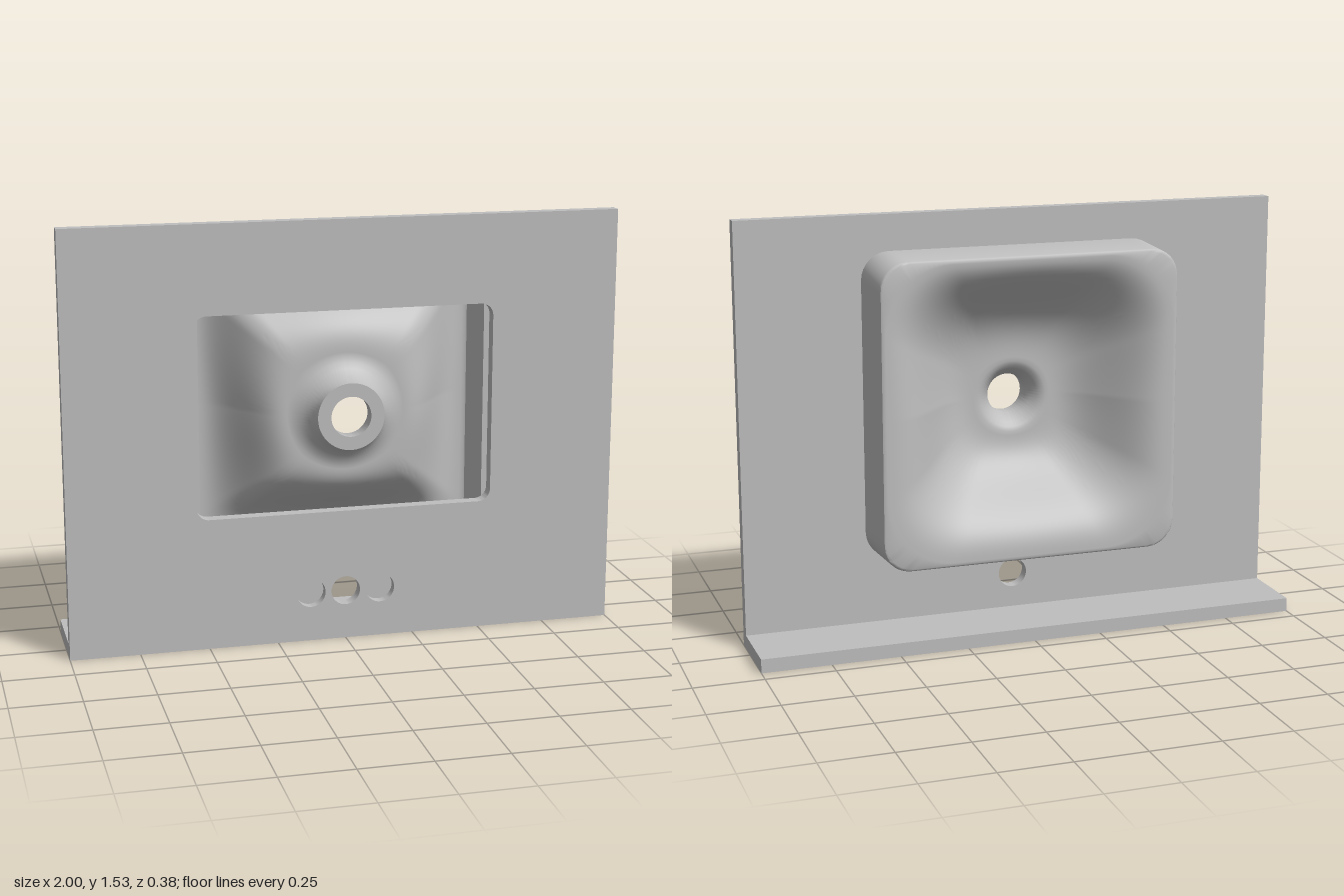
import * as THREE from 'three';
import { toCreasedNormals } from 'three/addons/utils/BufferGeometryUtils.js';

const CY = 0.845; // height of the drain and basin centre

// Distance from the centre to a rounded rectangle's edge along an angle
function rectRadius(angle, a, b, r) {
  const c = Math.abs(Math.cos(angle)), s = Math.abs(Math.sin(angle));
  if (c > 1e-6 && (a * s) / c <= b - r) return a / c;
  if (s > 1e-6 && (b * c) / s <= a - r) return b / s;
  const px = a - r, py = b - r, d = c * px + s * py;
  return d + Math.sqrt(Math.max(0, d * d - (px * px + py * py - r * r)));
}

// Loops of constant rank around the drain axis, joined into a closed skin
function skin(loops, segments) {
  const pos = [], idx = [];
  for (const loop of loops) {
    for (let j = 0; j < segments; j++) {
      const t = (j / segments) * Math.PI * 2;
      const [r, z] = loop(t);
      pos.push(r * Math.cos(t), CY + r * Math.sin(t), z);
    }
  }
  for (let i = 0; i < loops.length; i++) {
    const n = (i + 1) % loops.length;
    for (let j = 0; j < segments; j++) {
      const k = (j + 1) % segments;
      const a = i * segments + j, b = n * segments + j, c = i * segments + k, d = n * segments + k;
      idx.push(a, b, c, b, d, c);
    }
  }
  const g = new THREE.BufferGeometry();
  g.setAttribute('position', new THREE.Float32BufferAttribute(pos, 3));
  g.setIndex(idx);
  return toCreasedNormals(g, 0.6);
}

// Bowl slope: flat at the rim, steep halfway, flat at the drain
function bowlLoop(s, a, b, corner, inner, zRim, zDrain) {
  return (t) => {
    const R = rectRadius(t, a, b, corner);
    const u = Math.pow(s, 1 - 0.3 * Math.max(0, Math.sin(t))); // steeper near the upper wall
    const f = u * u * u * (u * (6 * u - 15) + 10);
    return [R + (inner - R) * s, zRim + (zDrain - zRim) * f];
  };
}

function basinGeometry() {
  const rect = (a, b, r, z) => (t) => [rectRadius(t, a, b, r), z];
  const ring = (r, z) => () => [r, z];
  const loops = [
    // outer wall and rounded rim
    rect(0.52, 0.525, 0.08, 0.065),
    rect(0.555, 0.555, 0.1, 0.065),
    rect(0.547, 0.549, 0.1, -0.146),
    rect(0.544, 0.546, 0.1, -0.152),
    rect(0.538, 0.541, 0.1, -0.155),
  ];
  const N = 26;
  // inside of the bowl
  for (let i = 0; i <= N; i++) loops.push(bowlLoop(i / N, 0.53, 0.533, 0.25, 0.13, -0.155, 0.075));
  // funnel, drain hole, end ring and flared outlet
  const outlet = [
    [0.115, 0.08], [0.1, 0.092], [0.085, 0.112], [0.072, 0.135], [0.072, 0.19],
    [0.12, 0.19], [0.122, 0.175], [0.129, 0.155], [0.141, 0.137], [0.158, 0.121], [0.178, 0.11],
  ];
  for (const [r, z] of outlet) loops.push(ring(r, z));
  // underside of the bowl and inside of the wall
  for (let i = N; i >= 0; i--) loops.push(bowlLoop(i / N, 0.505, 0.51, 0.08, 0.2, -0.115, 0.102));
  loops.push(rect(0.511, 0.516, 0.08, -0.112), rect(0.515, 0.52, 0.08, -0.1));
  return skin(loops, 256);
}

// Counter sheet with the basin window and round tap holes
function sheetGeometry(z0, z1, holeXs) {
  const s = new THREE.Shape();
  s.moveTo(-1, 0).lineTo(1, 0).lineTo(1, 1.53).lineTo(-1, 1.53).closePath();
  const w = new THREE.Path(), x = 0.54, lo = 0.48, hi = 1.21, r = 0.045;
  w.moveTo(-x + r, lo).lineTo(x - r, lo).absarc(x - r, lo + r, r, -Math.PI / 2, 0);
  w.absarc(x - r, hi - r, r, 0, Math.PI / 2);
  w.absarc(-x + r, hi - r, r, Math.PI / 2, Math.PI);
  w.absarc(-x + r, lo + r, r, Math.PI, Math.PI * 1.5);
  s.holes.push(w);
  for (const hx of holeXs) {
    s.holes.push(new THREE.Path().absarc(hx, 0.18, 0.053, 0, Math.PI * 2, true));
  }
  const g = new THREE.ExtrudeGeometry(s, { depth: z1 - z0, bevelEnabled: false, curveSegments: 20 });
  g.translate(0, 0, z0);
  return toCreasedNormals(g, 0.6);
}

export function createModel() {
  const model = new THREE.Group();
  model.name = 'washbasinCounter';
  const grey = new THREE.MeshStandardMaterial({ color: 0xbebebe });
  grey.name = 'grey';
  const add = (name, geometry) => {
    const mesh = new THREE.Mesh(geometry, grey);
    mesh.name = name;
    model.add(mesh);
    return mesh;
  };

  // the outer tap holes are blind, the middle one goes through
  add('counterUnderside', sheetGeometry(0.075, 0.11, [-0.128, 0, 0.128]));
  add('counterTop', sheetGeometry(0.065, 0.075, [0]));
  add('backsplash', new THREE.BoxGeometry(2, 0.05, 0.255)).position.set(0, 0.025, -0.0625);
  add('basin', basinGeometry());
  return model;
}
